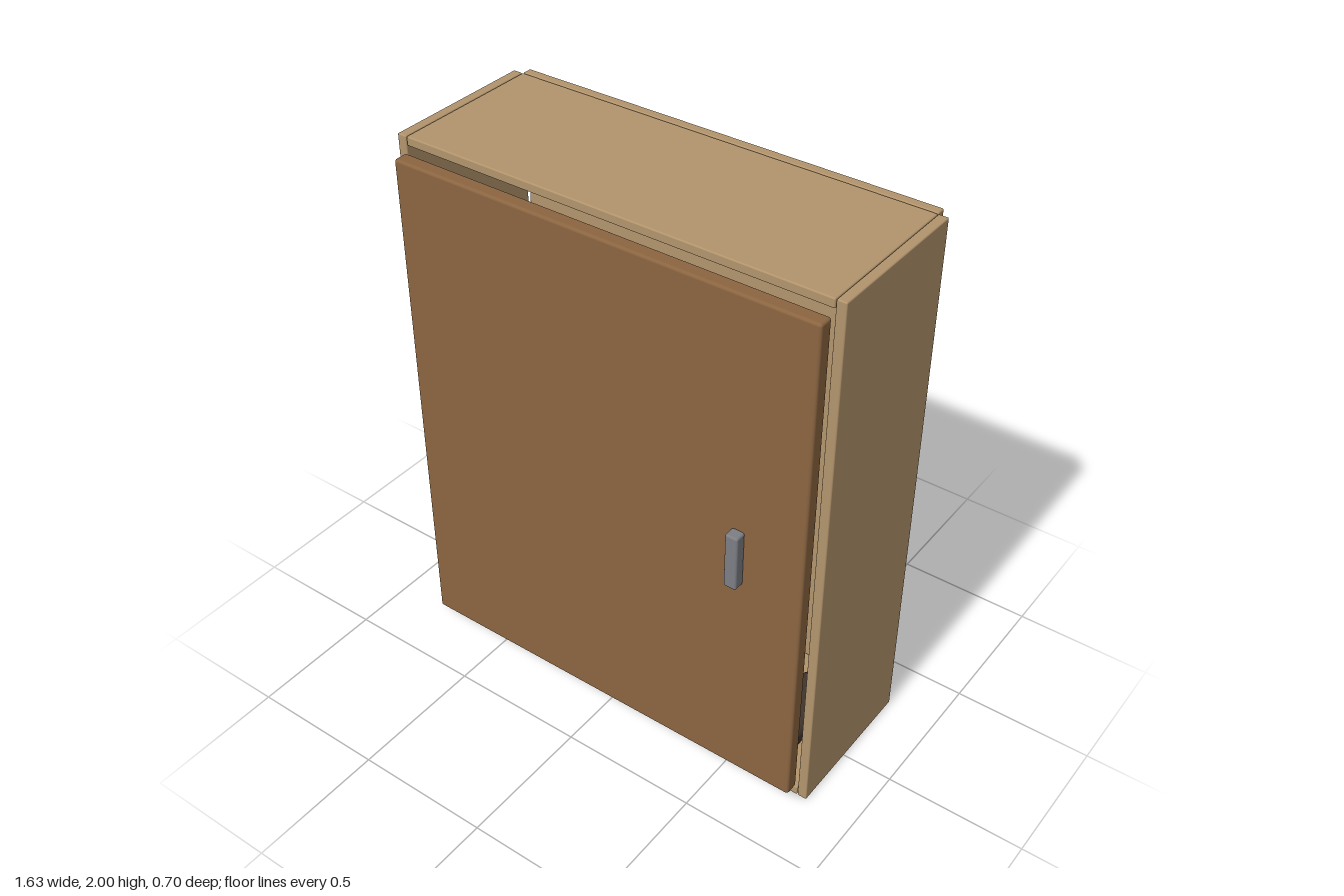
import * as THREE from 'three';
import { RoundedBoxGeometry } from 'three/addons/geometries/RoundedBoxGeometry.js';

const material = (name, color) => {
  const m = new THREE.MeshStandardMaterial({ color });
  m.name = name;
  return m;
};

export function createModel() {
  const wood = material('light wood', 0xb2946c);
  const doorWood = material('dark wood', 0x8b6541);
  const metal = material('grey metal', 0x7c7e84);
  const leather = material('dark leather', 0x40352d);

  const cabinet = new THREE.Group();
  cabinet.name = 'cabinet';

  // Softly bevelled box given by its minimum and maximum corners
  function panel(name, mat, min, max, radius = 0.005) {
    const size = max.map((v, i) => v - min[i]);
    const mesh = new THREE.Mesh(new RoundedBoxGeometry(...size, 2, radius), mat);
    mesh.position.set(...max.map((v, i) => (v + min[i]) / 2));
    mesh.name = name;
    cabinet.add(mesh);
    return mesh;
  }

  // Carcass
  panel('leftSide', wood, [0.782, 0, -0.315], [0.817, 2, 0.247]);
  panel('rightSide', wood, [-0.817, 0, -0.315], [-0.782, 2, 0.247]);
  panel('topPanel', wood, [-0.78, 1.967, -0.315], [0.78, 2, 0.247]);
  panel('bottomPanel', wood, [-0.78, 0, -0.315], [0.78, 0.035, 0.247]);
  panel('backPanel', wood, [-0.78, 0, -0.352], [0.78, 2, -0.318]);

  // Door and its handle
  panel('door', doorWood, [-0.78, 0.058, 0.256], [0.78, 1.948, 0.31], 0.01);
  panel('handle', metal, [0.52, 0.9, 0.308], [0.567, 1.11, 0.352], 0.008);

  // Two pairs of shoes on the cabinet floor, just visible under the door
  for (const x of [-0.66, -0.495, 0.435, 0.615]) {
    panel('shoe', leather, [x - 0.077, 0.038, -0.18], [x + 0.077, 0.13, 0.2], 0.035);
  }

  return cabinet;
}
